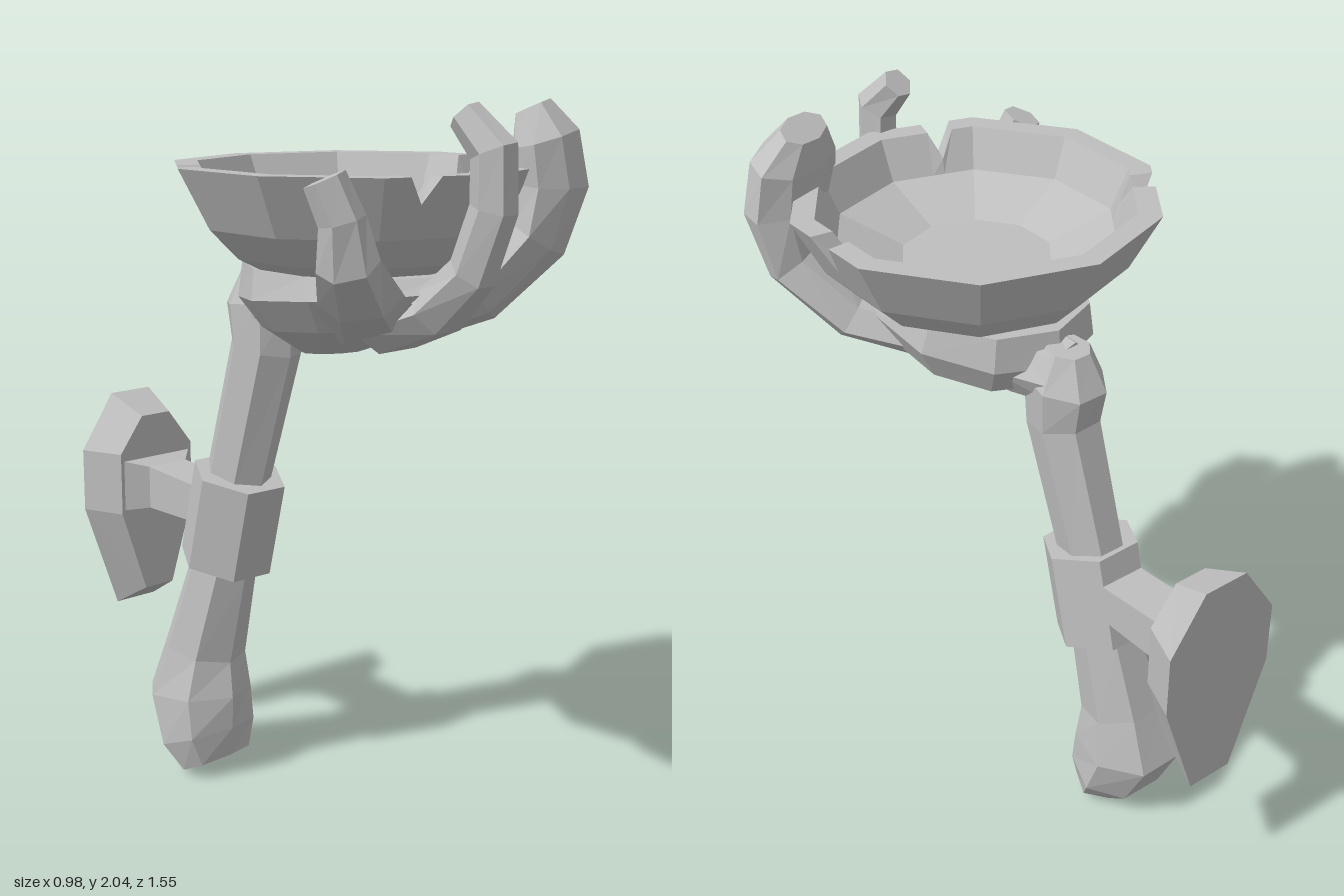
import * as THREE from 'three';

const bone = new THREE.MeshStandardMaterial({ color: 0xbfbfbf, flatShading: true });
bone.name = 'boneGrey';

// Skin a list of equal-length rings (counter-clockwise about the loft direction) and cap both ends
function loft(name, rings) {
  const pos = [];
  const tri = (...pts) => pts.forEach((p) => pos.push(p.x, p.y, p.z));
  const n = rings[0].length;
  for (let i = 0; i + 1 < rings.length; i++) {
    for (let k = 0; k < n; k++) {
      const a = rings[i][k], b = rings[i][(k + 1) % n];
      const c = rings[i + 1][(k + 1) % n], d = rings[i + 1][k];
      tri(a, b, c);
      tri(a, c, d);
    }
  }
  const centre = (ring) => ring.reduce((s, p) => s.add(p), new THREE.Vector3()).divideScalar(n);
  const first = rings[0], last = rings[rings.length - 1];
  const c0 = centre(first), c1 = centre(last);
  for (let k = 0; k < n; k++) {
    tri(c0, first[(k + 1) % n], first[k]);
    tri(c1, last[k], last[(k + 1) % n]);
  }
  const geometry = new THREE.BufferGeometry();
  geometry.setAttribute('position', new THREE.Float32BufferAttribute(pos, 3));
  geometry.computeVertexNormals();
  const mesh = new THREE.Mesh(geometry, bone);
  mesh.name = name;
  return mesh;
}

// Faceted limb through sections [x, y, z, halfWidth, halfDepth]
function limb(name, sections, sides, side = [1, 0, 0], phase = 0) {
  const pts = sections.map((s) => new THREE.Vector3(s[0], s[1], s[2]));
  const rings = sections.map((s, i) => {
    const t = pts[Math.min(i + 1, pts.length - 1)].clone().sub(pts[Math.max(i - 1, 0)]).normalize();
    const u = new THREE.Vector3(...side);
    u.addScaledVector(t, -u.dot(t)).normalize();
    const v = t.clone().cross(u);
    return Array.from({ length: sides }, (_, k) => {
      const a = phase + (k / sides) * Math.PI * 2;
      return pts[i].clone().addScaledVector(u, Math.cos(a) * s[3]).addScaledVector(v, Math.sin(a) * s[4]);
    });
  });
  return loft(name, rings);
}

// Ten-sided bowl with chipped notches in its rim
function bowl() {
  const rad = Math.PI / 180;
  const notches = [[88, 0.1], [-23, 0.07], [-118, 0.06]];
  const stops = Array.from({ length: 10 }, (_, k) => ({ a: k * 36 - 180, drop: 0 }));
  notches.forEach(([a, drop]) => stops.push({ a: a - 5, drop: 0 }, { a, drop }, { a: a + 5, drop: 0 }));
  stops.sort((p, q) => p.a - q.a);
  // radius, height, whether the ring belongs to the chipped rim
  const profile = [
    [0.2, 1.53, 0], [0.34, 1.6, 0], [0.42, 1.68, 0], [0.505, 1.84, 1],
    [0.44, 1.84, 1], [0.39, 1.73, 0], [0.21, 1.66, 0],
  ];
  return loft('bowl', profile.map(([r, y, rim]) => stops.map(({ a, drop }) => {
    const local = (((a % 36) + 36) % 36) - 18;
    const d = rim * drop;
    const R = (r * Math.cos(18 * rad)) / Math.cos(local * rad) - d * 0.5;
    return new THREE.Vector3(-0.015 + R * Math.sin(a * rad), y - d, 0.175 + R * Math.cos(a * rad));
  })));
}

// Palm: stacked oval rings [x, y, z, halfWidth, halfDepth], each tilted up towards the front
function palm() {
  const sections = [
    [-0.03, 1.325, 0.1, 0.08, 0.1], [-0.02, 1.41, 0.18, 0.23, 0.29],
    [-0.03, 1.5, 0.19, 0.29, 0.36], [-0.03, 1.57, 0.17, 0.27, 0.33],
  ];
  return loft('palm', sections.map(([x, y, z, w, d], i) => Array.from({ length: 10 }, (_, k) => {
    const a = (k / 10) * Math.PI * 2;
    const tilt = i === 3 ? 0 : 0.1;
    return new THREE.Vector3(x + w * Math.sin(a), y + tilt * d * Math.cos(a), z + d * Math.cos(a));
  })));
}

// Wall mount: outlines stacked from back to front
const outline = (pts, z) => pts.map(([x, y]) => new THREE.Vector3(x, y, z));
const octagon = (w, low, high, top) => {
  const half = [[0.065 * top, low], [w, 0.73], [w, 0.92], [0.065 * top, high]];
  const mirrored = half.map(([x, y]) => [-x, y]).reverse();
  return [...half, ...mirrored].map(([x, y]) => [x - 0.085, y]);
};
const rect = (x0, x1, y0, y1) => [[x0, y0], [x1, y0], [x1, y1], [x0, y1]];

export function createModel() {
  const group = new THREE.Group();
  group.name = 'wallBrazier';

  group.add(bowl(), palm());

  // Forearm with a knobbed lower end and a rounded wrist
  group.add(limb('forearm', [
    [-0.135, 0.01, -0.31, 0.12, 0.08], [-0.14, 0.09, -0.345, 0.155, 0.13],
    [-0.14, 0.22, -0.385, 0.155, 0.165], [-0.13, 0.36, -0.365, 0.125, 0.125],
    [-0.105, 0.62, -0.305, 0.1, 0.105], [-0.075, 0.9, -0.265, 0.09, 0.105],
    [-0.045, 1.3, -0.17, 0.1, 0.11], [-0.04, 1.43, -0.18, 0.105, 0.125],
    [-0.04, 1.53, -0.19, 0.06, 0.06],
  ], 7, [1, 0, 0], 0.22));

  // Fingers curling up around the bowl
  group.add(limb('wristJoint', [
    [-0.04, 1.45, -0.2, 0.09, 0.09], [-0.03, 1.44, -0.05, 0.13, 0.1], [-0.03, 1.45, 0.1, 0.18, 0.1],
  ], 7));
  group.add(limb('middleFinger', [
    [-0.05, 1.42, 0.35, 0.13, 0.07], [-0.06, 1.49, 0.53, 0.09, 0.07],
    [-0.07, 1.6, 0.65, 0.06, 0.065], [-0.065, 1.76, 0.71, 0.055, 0.065],
    [-0.07, 1.9, 0.71, 0.055, 0.065], [-0.09, 1.985, 0.63, 0.045, 0.045],
  ], 6));
  group.add(limb('outerFinger', [
    [-0.1, 1.44, 0.32, 0.14, 0.07], [-0.27, 1.53, 0.46, 0.11, 0.06],
    [-0.38, 1.63, 0.53, 0.08, 0.06], [-0.4, 1.74, 0.53, 0.06, 0.055],
    [-0.43, 1.84, 0.5, 0.055, 0.05],
  ], 6, [0.8, 0, 0.6]));
  group.add(limb('thumb', [
    [0.04, 1.43, 0.28, 0.16, 0.08], [0.2, 1.5, 0.43, 0.18, 0.08],
    [0.3, 1.65, 0.54, 0.19, 0.085], [0.325, 1.79, 0.56, 0.185, 0.1],
    [0.31, 1.91, 0.55, 0.18, 0.09], [0.29, 1.99, 0.52, 0.1, 0.05],
  ], 8, [0.86, 0, -0.5]));

  // Collar clamped on the forearm, with neck and wall plate
  group.add(limb('collar', [
    [-0.085, 0.635, -0.315, 0.14, 0.145], [-0.08, 0.915, -0.25, 0.14, 0.145],
  ], 6));
  group.add(loft('mountNeck', [
    outline(rect(-0.22, 0.05, 0.74, 0.9), -0.66), outline(rect(-0.15, -0.01, 0.75, 0.88), -0.6),
    outline(rect(-0.15, -0.01, 0.75, 0.86), -0.33),
  ]));
  group.add(loft('wallPlate', [
    outline(octagon(0.185, 0.4, 1.085, 1.1), -0.78), outline(octagon(0.135, 0.475, 1.03, 0.8), -0.65),
  ]));
  return group;
}
